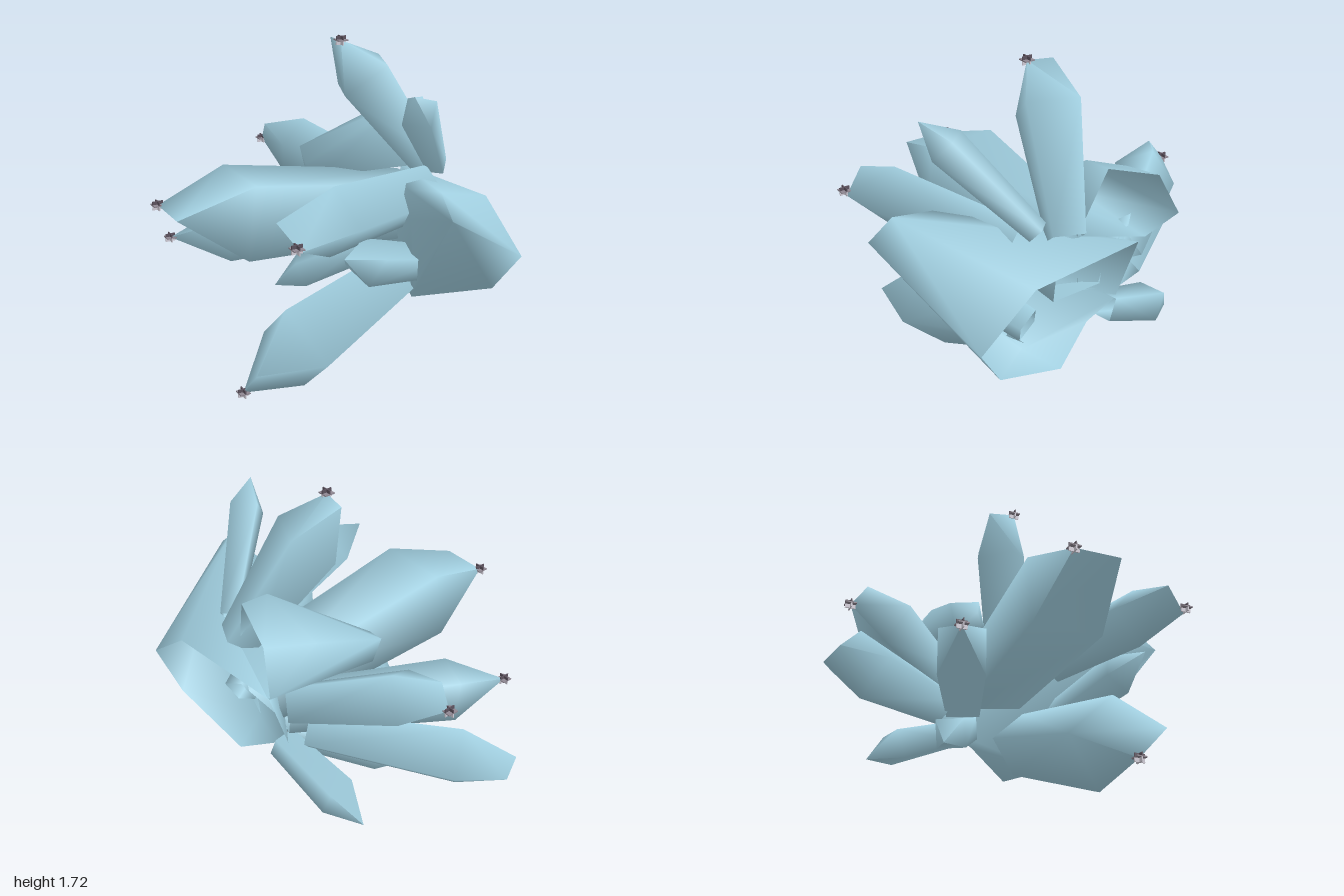
import * as THREE from 'three';
import { toCreasedNormals } from 'three/addons/utils/BufferGeometryUtils.js';
import { ConvexGeometry } from 'three/addons/geometries/ConvexGeometry.js';

const V = (p) => new THREE.Vector3(...p);

// Four corners around a centre, perpendicular to the axis; turn 0 puts a corner on top
function squareRing(centre, axis, radius, turn) {
  const side = new THREE.Vector3().crossVectors(axis, V([0, 1, 0])).normalize();
  const up = new THREE.Vector3().crossVectors(side, axis).normalize();
  return [0, 90, 180, 270].map((deg) => {
    const a = THREE.MathUtils.degToRad(deg + turn);
    return centre.clone().addScaledVector(up, Math.cos(a) * radius).addScaledVector(side, Math.sin(a) * radius);
  });
}

// Convex shell around rim and points, left open where a face touches only the rim
function openShell(rim, points) {
  const hull = new ConvexGeometry([...rim, ...points]);
  const pos = hull.attributes.position;
  const onRim = (i) => rim.some((r) => r.distanceTo(new THREE.Vector3().fromBufferAttribute(pos, i)) < 1e-5);
  const kept = [];
  for (let i = 0; i < pos.count; i += 3) {
    if (onRim(i) && onRim(i + 1) && onRim(i + 2)) continue;
    for (let k = i; k < i + 3; k++) kept.push(pos.getX(k), pos.getY(k), pos.getZ(k));
  }
  const shell = new THREE.BufferGeometry();
  shell.setAttribute('position', new THREE.Float32BufferAttribute(kept, 3));
  return toCreasedNormals(shell, 2.0);
}

export function createModel() {
  const group = new THREE.Group();
  const paint = (name, color) => {
    const m = new THREE.MeshStandardMaterial({ color, side: THREE.DoubleSide });
    m.name = name;
    return m;
  };
  const crystalBlue = paint('crystalBlue', 0xa1cfe0);
  const darkMineral = paint('darkMineral', 0x5c525e);
  const greyMineral = paint('greyMineral', 0x8f8792);
  const paleMineral = paint('paleMineral', 0xcfcbd6);

  function add(name, rim, points) {
    const mesh = new THREE.Mesh(openShell(rim, points), crystalBlue);
    mesh.name = name;
    group.add(mesh);
  }

  // Four-sided shaft widening from base to shoulder, closed by a point or a chisel edge
  function crystal(name, turn, base, r0, shoulder, r1, tips) {
    const b = V(base), s = V(shoulder);
    const axis = s.clone().sub(b).normalize();
    add(name, squareRing(b, axis, r0, turn), [...squareRing(s, axis, r1, turn), ...tips.map(V)]);
  }

  crystal('upperCrystal', 45, [0.64, 1.0, 0.2], 0.11, [0.3, 1.505, 0.06], 0.185,
    [[0.16, 1.7, 0.08], [0.18, 1.69, -0.06], [0.165, 1.47, 0.08]]);
  crystal('upperSlimCrystal', 45, [0.595, 1.05, 0.33], 0.06, [0.28, 1.44, 0.61], 0.1,
    [[0.19, 1.55, 0.7]]);
  crystal('longSideCrystal', 45, [0.6, 0.77, 0.08], 0.205, [-0.44, 0.9, 0.095], 0.27,
    [[-0.8, 0.96, -0.03], [-0.8, 0.96, 0.22]]);
  crystal('frontSideCrystal', 0, [0.5, 0.93, 0.36], 0.145, [-0.2, 0.99, 0.635], 0.172,
    [[-0.44, 0.94, 0.78], [-0.5, 1.05, 0.66]]);
  crystal('lowerCrystal', 0, [0.43, 0.425, 0.22], 0.17, [-0.265, 0.235, 0.39], 0.243,
    [[-0.56, 0.07, 0.4], [-0.56, 0.24, 0.56]]);
  crystal('frontSlimCrystal', 20, [0.56, 0.53, 0.36], 0.09, [0.0, 0.74, 0.62], 0.118,
    [[-0.17, 0.82, 0.7]]);
  crystal('backSideCrystal', 45, [0.55, 0.68, -0.06], 0.13, [-0.28, 0.585, -0.38], 0.165,
    [[-0.57, 0.58, -0.49]]);
  crystal('rearCrystal', 0, [0.52, 0.63, -0.22], 0.12, [0.035, 0.575, -0.79], 0.175,
    [[-0.09, 0.5, -1.0], [-0.2, 0.55, -0.95]]);
  crystal('rearUpperCrystal', 16, [0.58, 0.8, -0.18], 0.12, [0.26, 0.95, -0.62], 0.165,
    [[0.16, 0.95, -0.83], [0.14, 1.06, -0.75]]);
  crystal('rearLowerCrystal', 45, [0.6, 0.5, -0.08], 0.085, [0.53, 0.35, -0.45], 0.11,
    [[0.49, 0.25, -0.61]]);
  crystal('rearSmallCrystal', 45, [0.5, 0.5, -0.06], 0.085, [0.13, 0.32, -0.28], 0.105,
    [[0.0, 0.22, -0.36]]);

  // Broad hollow crystals, open at the root
  add('frontBlock', [
    [0.8, 0.9, 0.49], [0.81, 0.67, 0.79], [0.75, 0.45, 0.65], [0.66, 0.28, 0.23],
    [0.57, 0.42, 0.0], [0.6, 0.52, -0.15], [0.72, 0.89, -0.18],
  ].map(V), [
    [0.215, 1.04, 1.0], [0.23, 1.14, 0.88], [0.2, 1.09, 0.65], [0.215, 0.94, 0.67],
    [0.47, 0.33, 0.33], [0.42, 0.45, 0.42], [0.35, 0.66, 0.56],
  ].map(V));
  add('upperBackBlock', [
    [0.815, 1.04, -0.34], [0.77, 1.25, -0.24], [0.71, 1.33, 0.02],
    [0.66, 1.0, 0.15], [0.74, 0.92, -0.2],
  ].map(V), [
    [0.09, 1.0, -0.16], [0.13, 1.05, -0.3], [0.15, 0.9, -0.26], [0.15, 0.93, -0.1],
    [0.56, 1.32, 0.03], [0.5, 1.18, -0.28], [0.34, 1.14, -0.05],
  ].map(V));

  // Tiny grains at the tips: three crossed plates, dark above and pale below
  const size = 0.055, thin = 0.006;
  const plates = [
    [[size, 0.018, thin], 0.013, darkMineral], [[size, 0.024, thin], -0.01, paleMineral],
    [[thin, 0.018, size], 0.013, darkMineral], [[thin, 0.024, size], -0.01, paleMineral],
    [[size, thin, size], 0.002, greyMineral],
  ];
  [[0.16, 1.7, 0.08], [-0.8, 0.96, -0.03], [-0.46, 0.96, 0.78],
    [-0.57, 0.58, -0.49], [-0.56, 0.07, 0.4], [0.16, 0.95, -0.83]].forEach((p) => {
    const grain = new THREE.Group();
    grain.name = 'tipGrain';
    plates.forEach(([dims, y, material]) => {
      const plate = new THREE.Mesh(new THREE.BoxGeometry(...dims), material);
      plate.name = 'grainPlate';
      plate.position.y = y;
      grain.add(plate);
    });
    grain.position.set(...p);
    group.add(grain);
  });
  return group;
}
